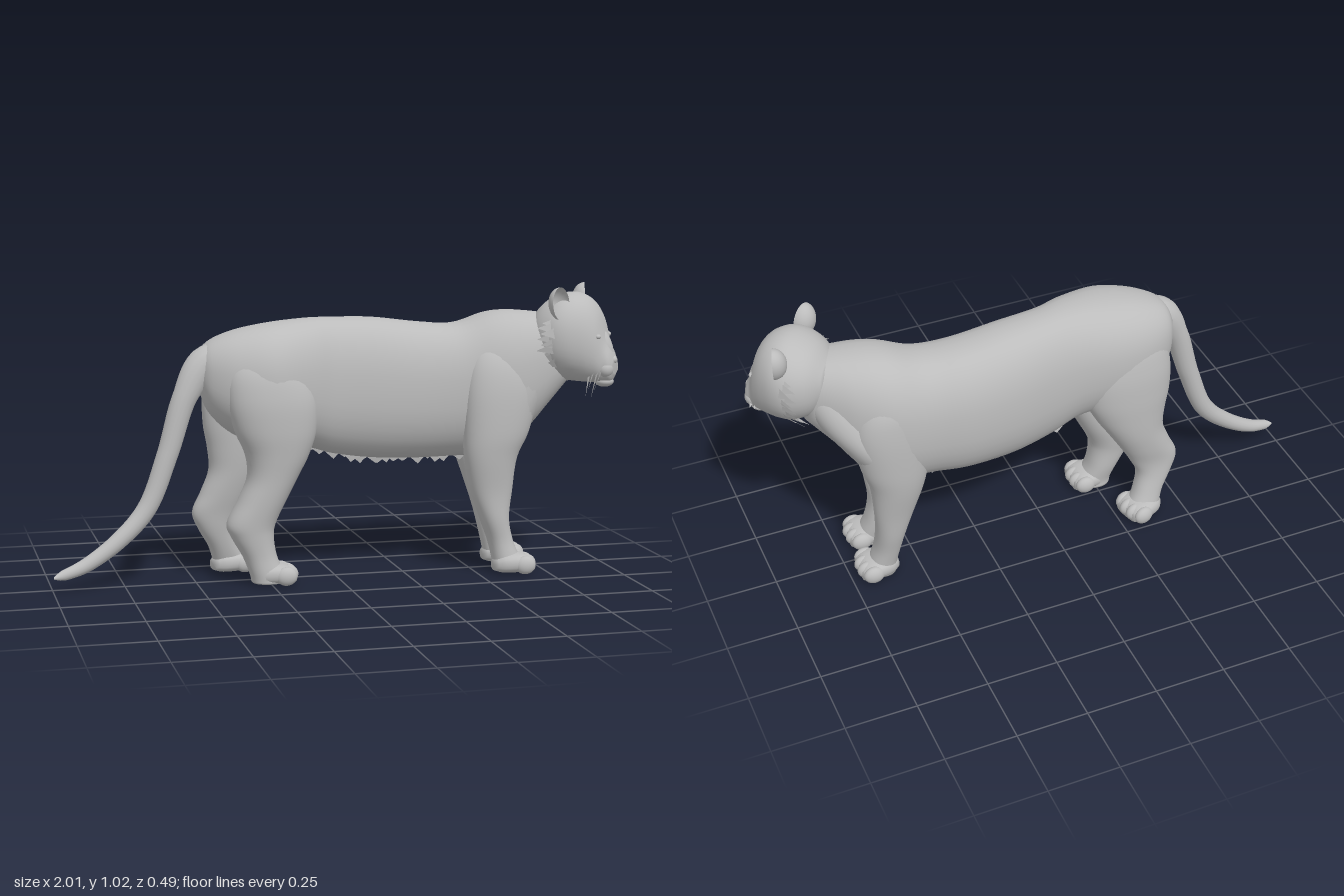
import * as THREE from 'three';

const fur = new THREE.MeshStandardMaterial({ color: 0xbcbcbc, side: THREE.DoubleSide });
fur.name = 'grey fur';

function add(parent, name, geometry, x = 0, y = 0, z = 0) {
  const mesh = new THREE.Mesh(geometry, fur);
  mesh.name = name;
  mesh.position.set(x, y, z);
  parent.add(mesh);
  return mesh;
}

function ball(parent, name, x, y, z, sx, sy = sx, sz = sx) {
  const mesh = add(parent, name, new THREE.SphereGeometry(1, 20, 14), x, y, z);
  mesh.scale.set(sx, sy, sz);
  return mesh;
}

// Smooth skin over rounded sections across an axis (0 x, 1 y, 2 z).
// Row: [position, minU, maxU, minV, maxV], U and V being the next two axes in cyclic order.
function loft(axis, rows, power = 0.9, sides = 36, steps = 5) {
  const sorted = [...rows].sort((a, b) => a[0] - b[0]);
  const spline = new THREE.CubicInterpolant(sorted.map((_, i) => i), sorted.flat(), 5);
  const rings = (sorted.length - 1) * steps + 1;
  const position = [], index = [];
  const put = (t, u, v) => {
    const p = [0, 0, 0];
    p[axis] = t;
    p[(axis + 1) % 3] = u;
    p[(axis + 2) % 3] = v;
    position.push(...p);
  };
  const bend = (s) => Math.sign(s) * Math.abs(s) ** power;
  for (let i = 0; i < rings; i++) {
    const [t, u0, u1, v0, v1] = [...spline.evaluate(i / steps)];
    for (let j = 0; j < sides; j++) {
      const a = (j / sides) * Math.PI * 2;
      put(t, (u0 + u1) / 2 + ((u1 - u0) / 2) * bend(Math.cos(a)),
        (v0 + v1) / 2 + ((v1 - v0) / 2) * bend(Math.sin(a)));
      const k = (j + 1) % sides, r = i * sides;
      if (i < rings - 1) index.push(r + j, r + k, r + sides + j, r + k, r + sides + k, r + sides + j);
    }
  }
  // End caps
  const ends = [sorted[0], sorted[sorted.length - 1]];
  ends.forEach(([t, u0, u1, v0, v1], e) => {
    const c = position.length / 3, r = e * (rings - 1) * sides;
    put(t, (u0 + u1) / 2, (v0 + v1) / 2);
    for (let j = 0; j < sides; j++) {
      const k = (j + 1) % sides;
      index.push(c, r + (e ? j : k), r + (e ? k : j));
    }
  });
  const g = new THREE.BufferGeometry();
  g.setAttribute('position', new THREE.Float32BufferAttribute(position, 3));
  g.setIndex(index);
  g.computeVertexNormals();
  return g;
}

// Thin triangle of fur
function blade(a, b, c) {
  const g = new THREE.BufferGeometry();
  g.setAttribute('position', new THREE.Float32BufferAttribute([...a, ...b, ...c], 3));
  g.computeVertexNormals();
  return g;
}

// Rounded foot with four toes, pointing along +x
function paw(parent, name, x, z, yaw = 0) {
  const foot = new THREE.Group();
  foot.name = name;
  foot.position.set(x, 0, z);
  foot.rotation.y = yaw;
  add(foot, 'footPad', loft(0, [
    [-0.08, 0.012, 0.05, -0.03, 0.03], [-0.05, 0.004, 0.07, -0.055, 0.055], [0, 0.004, 0.076, -0.068, 0.068],
    [0.04, 0.004, 0.066, -0.068, 0.068], [0.06, 0.01, 0.046, -0.052, 0.052],
  ], 0.8, 24, 3));
  for (let i = 0; i < 4; i++) {
    const s = i - 1.5;
    ball(foot, 'toe', 0.04 - Math.abs(s) * 0.012, 0.036, s * 0.036, 0.038, 0.033, 0.023);
  }
  parent.add(foot);
}

function makeTail() {
  const points = [[-0.36, 0.79, -0.03], [-0.46, 0.765, -0.02], [-0.53, 0.66, -0.01], [-0.595, 0.46, -0.005],
    [-0.67, 0.275, 0], [-0.77, 0.17, 0.015], [-0.89, 0.09, 0.03], [-0.97, 0.062, 0.042], [-0.998, 0.055, 0.045]];
  const radii = [0.07, 0.063, 0.043, 0.037, 0.034, 0.03, 0.025, 0.018, 0.004];
  const curve = new THREE.CatmullRomCurve3(points.map((p) => new THREE.Vector3(...p)));
  const steps = 60, sides = 16;
  const g = new THREE.TubeGeometry(curve, steps, 1, sides);
  const pos = g.attributes.position, v = new THREE.Vector3();
  for (let i = 0; i <= steps; i++) {
    const centre = curve.getPointAt(i / steps);
    const t = curve.getUtoTmapping(i / steps) * (radii.length - 1);
    const k = Math.min(Math.floor(t), radii.length - 2);
    const r = THREE.MathUtils.lerp(radii[k], radii[k + 1], t - k);
    for (let j = 0; j <= sides; j++) {
      const n = i * (sides + 1) + j;
      v.fromBufferAttribute(pos, n).sub(centre).multiplyScalar(r).add(centre);
      pos.setXYZ(n, v.x, v.y, v.z);
    }
  }
  return g;
}

// Head built facing +z, then turned
function makeHead() {
  const head = new THREE.Group();
  head.name = 'head';
  add(head, 'skull', loft(2, [
    [-0.11, -0.07, 0.07, -0.07, 0.06], [-0.06, -0.125, 0.125, -0.13, 0.115],
    [0, -0.15, 0.15, -0.16, 0.146], [0.05, -0.146, 0.146, -0.166, 0.15],
    [0.10, -0.12, 0.12, -0.168, 0.128], [0.137, -0.09, 0.09, -0.168, 0.078],
    [0.163, -0.062, 0.062, -0.168, -0.005], [0.183, -0.05, 0.05, -0.16, -0.05],
    [0.195, -0.03, 0.03, -0.135, -0.08],
  ], 0.94));
  ball(head, 'noseBridge', 0, -0.03, 0.146, 0.036, 0.075, 0.032).rotation.x = -0.4;
  ball(head, 'nose', 0, -0.085, 0.185, 0.022, 0.015, 0.016);
  ball(head, 'chin', 0, -0.163, 0.155, 0.036, 0.02, 0.034);
  for (const s of [-1, 1]) {
    ball(head, 'muzzle', s * 0.027, -0.116, 0.166, 0.034, 0.032, 0.03);
    ball(head, 'eye', s * 0.06, 0, 0.147, 0.013, 0.009, 0.011);
    // Cupped ear, hollow towards the front
    const ear = add(head, 'ear', new THREE.SphereGeometry(1, 20, 14, Math.PI, Math.PI), s * 0.13, 0.116, 0.034);
    ear.scale.set(0.045, 0.06, 0.045);
    ear.rotation.set(0, s * 0.35, -s * 0.25);
    // Ragged cheek ruff of overlapping tufts
    for (let i = 0; i < 15; i++) {
      const a = 0.4 - i * 0.115, flare = 1.07 + (i % 3) * 0.035;
      const rim = (angle, f, z) => [s * Math.cos(angle) * 0.146 * f, Math.sin(angle) * 0.156 * f - 0.008, z];
      add(head, 'cheekRuff', blade(rim(a - 0.2, 0.99, 0.045), rim(a + 0.2, 0.99, 0.045),
        rim(a - 0.06, flare, -0.03 - (i % 2) * 0.015)));
    }
    // Whisker tufts
    const reach = s < 0 ? 1 : 0.25;
    for (let i = 0; i < 4; i++) {
      const x = s * (0.05 + i * 0.002), z = 0.168 - i * 0.014;
      add(head, 'whiskers', blade([x, -0.105, z], [x, -0.125, z - 0.012],
        [s * (0.05 + reach * (0.082 - i * 0.014)), -0.12 - reach * (0.065 + (i % 2) * 0.025), z - 0.01 * reach]));
    }
  }
  head.position.set(0.83, 0.85, 0.046);
  head.rotation.y = THREE.MathUtils.degToRad(51);
  return head;
}

export function createModel() {
  const cat = new THREE.Group();
  cat.name = 'bigCat';

  // Trunk from rump to neck
  add(cat, 'body', loft(0, [
    [-0.48, 0.70, 0.80, -0.08, 0.02], [-0.445, 0.60, 0.845, -0.14, 0.07], [-0.36, 0.52, 0.882, -0.18, 0.125],
    [-0.24, 0.48, 0.907, -0.195, 0.155], [-0.10, 0.465, 0.92, -0.19, 0.118], [0, 0.435, 0.92, -0.20, 0.085],
    [0.15, 0.412, 0.915, -0.225, 0.08], [0.32, 0.405, 0.895, -0.23, 0.085], [0.45, 0.41, 0.89, -0.215, 0.105],
    [0.56, 0.41, 0.925, -0.214, 0.137], [0.63, 0.44, 0.935, -0.20, 0.15], [0.70, 0.51, 0.932, -0.165, 0.152],
    [0.76, 0.585, 0.925, -0.122, 0.145], [0.84, 0.68, 0.91, -0.06, 0.12],
  ], 0.86));

  // Chest and throat: [y, minZ, maxZ, minX, maxX]
  add(cat, 'chest', loft(1, [
    [0.41, -0.09, 0.05, 0.52, 0.63], [0.45, -0.15, 0.10, 0.50, 0.668], [0.52, -0.195, 0.145, 0.49, 0.705],
    [0.60, -0.20, 0.152, 0.50, 0.757], [0.70, -0.165, 0.15, 0.53, 0.82], [0.79, -0.12, 0.14, 0.58, 0.84],
    [0.87, -0.07, 0.11, 0.64, 0.80],
  ], 0.85));

  // Legs: [y, minZ, maxZ, minX, maxX]
  add(cat, 'frontLegLeft', loft(1, [
    [0.88, 0, 0.05, 0.54, 0.62], [0.78, 0, 0.128, 0.48, 0.69], [0.67, 0, 0.16, 0.455, 0.72],
    [0.52, 0, 0.165, 0.45, 0.69], [0.42, 0.01, 0.155, 0.455, 0.645], [0.30, 0.02, 0.138, 0.48, 0.63],
    [0.20, 0.015, 0.135, 0.515, 0.62], [0.12, 0.02, 0.13, 0.545, 0.635], [0.05, 0.035, 0.14, 0.56, 0.66],
    [0.01, 0.04, 0.14, 0.565, 0.66],
  ]));
  add(cat, 'frontLegRight', loft(1, [
    [0.88, -0.12, -0.06, 0.54, 0.62], [0.78, -0.195, -0.04, 0.48, 0.69], [0.67, -0.215, -0.03, 0.46, 0.72],
    [0.52, -0.213, -0.03, 0.46, 0.70], [0.42, -0.203, -0.05, 0.48, 0.67], [0.30, -0.18, -0.065, 0.52, 0.66],
    [0.20, -0.165, -0.05, 0.55, 0.655], [0.12, -0.147, -0.038, 0.567, 0.66], [0.05, -0.135, -0.03, 0.58, 0.68],
    [0.01, -0.135, -0.03, 0.585, 0.68],
  ]));
  add(cat, 'hindLegLeft', loft(1, [
    [0.88, 0, 0.05, -0.31, -0.21], [0.77, 0, 0.135, -0.39, -0.14], [0.66, -0.01, 0.164, -0.40, -0.09],
    [0.55, -0.02, 0.165, -0.375, -0.085], [0.46, -0.022, 0.155, -0.335, -0.11], [0.38, -0.022, 0.145, -0.328, -0.15],
    [0.30, -0.02, 0.138, -0.36, -0.19], [0.22, -0.012, 0.13, -0.40, -0.228], [0.17, -0.005, 0.125, -0.385, -0.236],
    [0.10, 0, 0.12, -0.345, -0.225], [0.04, 0.01, 0.125, -0.322, -0.20], [0.01, 0.01, 0.125, -0.315, -0.20],
  ]));
  add(cat, 'hindLegRight', loft(1, [
    [0.88, -0.09, -0.04, -0.32, -0.22], [0.77, -0.17, -0.03, -0.42, -0.15], [0.66, -0.20, -0.03, -0.45, -0.12],
    [0.55, -0.207, -0.03, -0.45, -0.13], [0.46, -0.205, -0.035, -0.435, -0.17], [0.38, -0.20, -0.045, -0.43, -0.22],
    [0.30, -0.19, -0.06, -0.46, -0.27], [0.23, -0.18, -0.075, -0.49, -0.31], [0.17, -0.183, -0.085, -0.47, -0.335],
    [0.10, -0.195, -0.10, -0.43, -0.32], [0.04, -0.21, -0.115, -0.41, -0.29], [0.01, -0.21, -0.12, -0.40, -0.29],
  ]));
  paw(cat, 'frontPawLeft', 0.64, 0.1);
  paw(cat, 'frontPawRight', 0.658, -0.082);
  paw(cat, 'hindPawLeft', -0.225, 0.07);
  paw(cat, 'hindPawRight', -0.335, -0.165, 0.25);

  // Ragged belly fringe
  for (let i = 0; i < 22; i++) {
    const x = -0.1 + i * 0.026, y = 0.475 - Math.min(i, 8) * 0.006, z = -0.05 - (i % 3) * 0.025;
    add(cat, 'bellyFringe', blade([x - 0.02, y, z], [x + 0.06, y - 0.006, z + 0.01],
      [x + 0.015 + (i % 2) * 0.015, y - 0.032 - (i % 4) * 0.004, z]));
  }

  add(cat, 'tail', makeTail());
  cat.add(makeHead());
  return cat;
}
